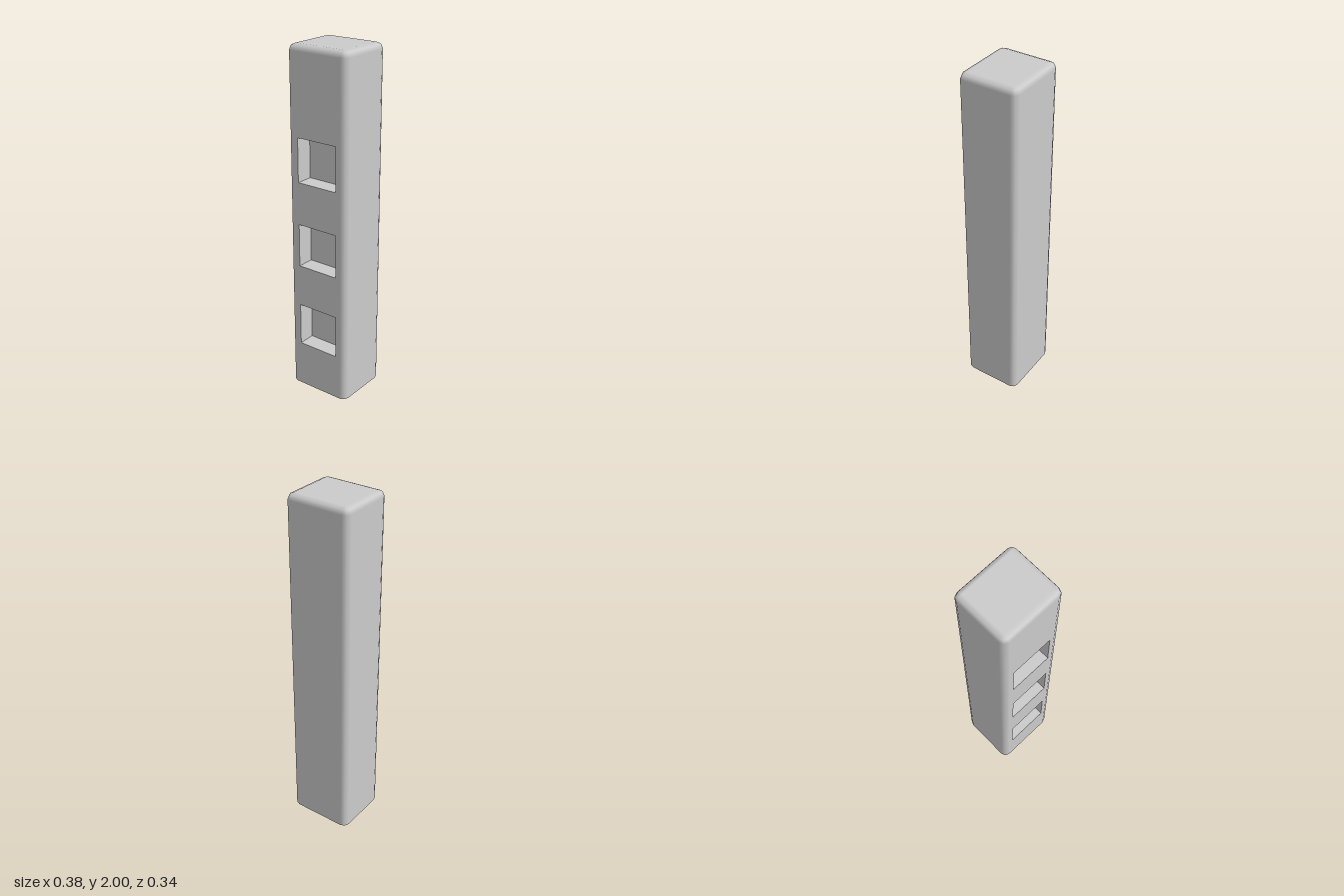
import * as THREE from 'three';

const W = 0.19, D = 0.17, H = 2, R = 0.035; // half width, half depth, height, bevel radius
const HOLE = 0.25, DEPTH = 0.1, HOLE_Y = [0.395, 0.89, 1.385];

// Rounded shell: rings of a rounded rectangle, open below, with a gap for the front panel
function shellGeometry() {
  const pos = [], nor = [], index = [];
  const levels = [[0, 0], [H - R, 0], [H - R, Math.PI / 4], [H - R, Math.PI / 2]]; // base y, bevel angle
  const n = 12;
  for (const [y, phi] of levels) {
    for (let k = 0; k < 4; k++) {
      const cx = (k === 0 || k === 3 ? 1 : -1) * (W - R), cz = (k < 2 ? 1 : -1) * (D - R);
      for (let s = 0; s < 3; s++) {
        const a = (k + s / 2) * Math.PI / 2;
        const nx = Math.cos(a) * Math.cos(phi), ny = Math.sin(phi), nz = Math.sin(a) * Math.cos(phi);
        pos.push(cx + R * nx, y + R * ny, cz + R * nz);
        nor.push(nx, ny, nz);
      }
    }
  }
  for (let j = 0; j < levels.length - 1; j++) {
    for (let i = 0; i < n; i++) {
      if (j === 0 && i === 2) continue; // front panel goes here
      const a = j * n + i, b = j * n + (i + 1) % n;
      index.push(a, a + n, b, b, a + n, b + n);
    }
  }
  const g = new THREE.BufferGeometry();
  g.setAttribute('position', new THREE.Float32BufferAttribute(pos, 3));
  g.setAttribute('normal', new THREE.Float32BufferAttribute(nor, 3));
  g.setIndex(index);
  return g;
}

function rectangle(path, x0, y0, x1, y1) {
  path.moveTo(x0, y0).lineTo(x1, y0).lineTo(x1, y1).lineTo(x0, y1).closePath();
  return path;
}

export function createModel() {
  const model = new THREE.Group();
  model.name = 'pillar';
  const material = new THREE.MeshStandardMaterial({ color: 0xcccccc, side: THREE.DoubleSide });
  const add = (parent, name, geometry) => {
    const mesh = new THREE.Mesh(geometry, material);
    mesh.name = name;
    parent.add(mesh);
    return mesh;
  };

  add(model, 'shell', shellGeometry());

  // Flat top inside the bevel
  const top = new THREE.PlaneGeometry(2 * (W - R), 2 * (D - R)).rotateX(-Math.PI / 2);
  add(model, 'topPanel', top).position.y = H;

  // Front panel with three square openings
  const front = rectangle(new THREE.Shape(), -(W - R), 0, W - R, H - R);
  const h = HOLE / 2;
  for (const y of HOLE_Y) front.holes.push(rectangle(new THREE.Path(), -h, y - h, h, y + h));
  add(model, 'frontPanel', new THREE.ShapeGeometry(front)).position.z = D;

  // Recesses: a back wall and four side walls facing inwards
  for (const y of HOLE_Y) {
    const recess = new THREE.Group();
    recess.name = 'recess';
    recess.position.set(0, y, D);
    add(recess, 'recessBack', new THREE.PlaneGeometry(HOLE, HOLE)).position.z = -DEPTH;
    for (let k = 0; k < 4; k++) {
      const wall = new THREE.PlaneGeometry(HOLE, DEPTH).rotateX(-Math.PI / 2);
      wall.translate(0, -h, -DEPTH / 2).rotateZ(k * Math.PI / 2);
      add(recess, 'recessWall', wall);
    }
    model.add(recess);
  }
  return model;
}
